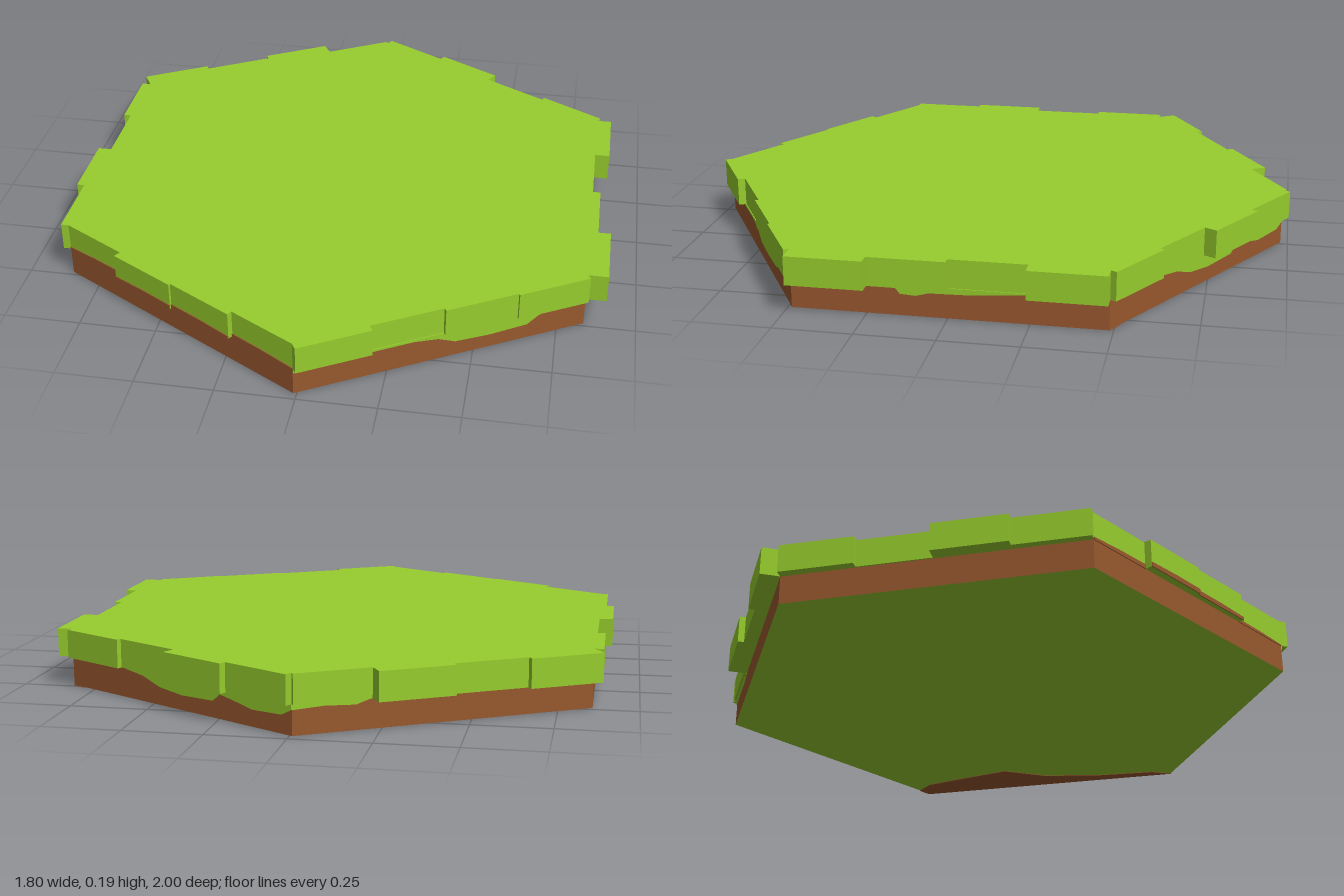
import * as THREE from 'three';

const APOTHEM = 0.845, SIDE = 0.976, CENTRE_X = -0.01;
const GRASS_Y = 0.097, TOP_Y = 0.19;

// Sides run counter-clockwise from the front right.
// offsets: how far each quarter of the turf edge juts out.
// drip: lower edge of grass hanging over the soil, as [fraction along side, height].
const SIDES = [
  { name: 'frontLeftSide', offsets: [0.025, 0, 0.012, 0.019],
    drip: [[0, 0.08], [0.06, 0.09], [0.4, 0.09], [0.48, 0.08], [0.54, 0.055], [0.66, 0.05], [0.79, 0.055], [0.83, 0.08], [0.87, 0.095]] },
  { name: 'leftSide', offsets: [0.065, 0.025, 0, 0.05],
    drip: [[0.33, 0.095], [0.35, 0.07], [0.4, 0.067], [0.44, 0.078], [0.55, 0.08], [0.7, 0.09], [0.75, 0.095]] },
  { name: 'backLeftSide', offsets: [0.021, 0.005, 0.049, 0.026],
    drip: [[0.27, 0.095], [0.35, 0.085], [0.43, 0.06], [0.53, 0.05], [0.67, 0.055], [0.7, 0.08], [0.76, 0.07], [0.84, 0.055], [0.96, 0.06], [1, 0.08]] },
  { name: 'backRightSide', offsets: [0.012, 0.065, 0.044, 0.064],
    drip: [[0, 0.08], [0.1, 0.085], [0.2, 0.08], [0.25, 0.095]] },
  { name: 'rightSide', offsets: [0.03, 0.005, 0.05, 0.025] },
  { name: 'frontRightSide', offsets: [0, 0.025, 0.018, 0],
    soilTops: [0.105, 0.111, 0.112, 0.107, 0.099] },
];

const sideAngle = (k) => Math.PI / 6 + (k * Math.PI) / 3;

// Plan position (x, -z) on side k, a fraction t along it and pushed outward
function planPoint(k, t, out) {
  const a = sideAngle(k), s = (t - 0.5) * SIDE, d = APOTHEM + out;
  return new THREE.Vector2(
    CENTRE_X + Math.sin(a) * d + Math.cos(a) * s,
    -Math.cos(a) * d + Math.sin(a) * s
  );
}

// Extrude a plan outline upward between two heights
function slab(points, y0, y1) {
  const geo = new THREE.ExtrudeGeometry(new THREE.Shape(points), { depth: y1 - y0, bevelEnabled: false });
  return geo.rotateX(-Math.PI / 2).translate(0, y0, 0);
}

export function createModel() {
  const model = new THREE.Group();
  model.name = 'hexTile';
  const grass = new THREE.MeshStandardMaterial({ color: 0x97cd2d });
  grass.name = 'grassGreen';
  const soil = new THREE.MeshStandardMaterial({ color: 0x98582e });
  soil.name = 'soilBrown';

  const add = (parent, name, geo, mat) => {
    const mesh = new THREE.Mesh(geo, mat);
    mesh.name = name;
    parent.add(mesh);
  };

  // Soil base: brown walls and green underside
  const hexagon = SIDES.map((_, k) => planPoint(k, 0, 0));
  add(model, 'soilBase', slab(hexagon, 0.002, GRASS_Y), [grass, soil]);

  // Turf slab with a stepped edge
  const outline = [];
  const push = (p) => {
    if (!outline.length || outline[outline.length - 1].distanceTo(p) > 1e-4) outline.push(p);
  };
  SIDES.forEach(({ offsets }, k) => {
    push(planPoint(k, 0, 0));
    offsets.forEach((o, i) => {
      push(planPoint(k, i / 4, o));
      push(planPoint(k, (i + 1) / 4, o));
    });
  });
  if (outline[0].distanceTo(outline[outline.length - 1]) < 1e-4) outline.pop();
  add(model, 'turf', slab(outline, GRASS_Y, TOP_Y), grass);

  // Soil patch spilling onto the underside
  const patch = [[0.835, 0.49], [0.835, -0.49], [0.79, -0.515], [0.735, -0.456], [0.705, -0.334],
    [0.66, -0.135], [0.745, 0.01], [0.787, 0.22], [0.8, 0.42]].map(([x, z]) => new THREE.Vector2(x, -z));
  add(model, 'undersidePatch', slab(patch, 0, 0.003), soil);

  // Thin plates on the walls: grass drips and soil smears
  SIDES.forEach(({ name, offsets, drip, soilTops }, k) => {
    const group = new THREE.Group();
    group.name = name;
    group.position.x = CENTRE_X;
    group.rotation.y = sideAngle(k);
    model.add(group);

    const plate = (partName, pts, out, mat) => {
      const shape = new THREE.Shape(pts.map(([t, y]) => new THREE.Vector2((t - 0.5) * SIDE, y)));
      const geo = new THREE.ExtrudeGeometry(shape, { depth: 0.003, bevelEnabled: false });
      add(group, partName, geo.translate(0, 0, APOTHEM + out), mat);
    };

    if (drip) {
      const first = drip[0][0], last = drip[drip.length - 1][0];
      plate('grassDrip', [...drip, [last, 0.098], [first, 0.098]], 0, grass);
    }
    if (soilTops) {
      offsets.forEach((o, i) => {
        const a = i / 4, b = (i + 1) / 4, mid = (soilTops[i] + soilTops[i + 1]) / 2 + 0.002;
        plate('soilSmear', [[a, 0.096], [b, 0.096], [b, soilTops[i + 1]], [(a + b) / 2, mid], [a, soilTops[i]]], o, soil);
      });
    }
  });

  return model;
}
